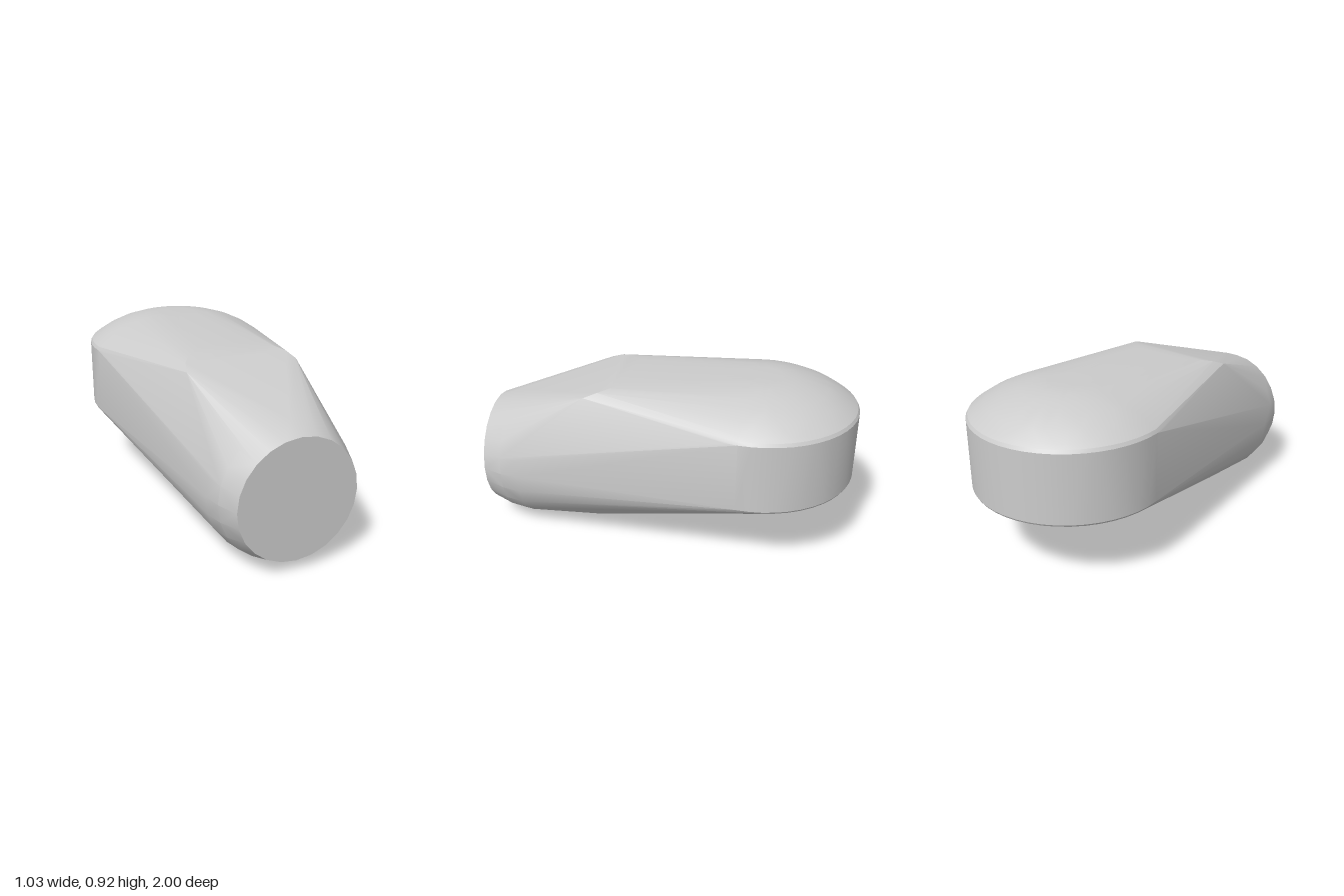
import * as THREE from 'three';
import { ConvexGeometry } from 'three/addons/geometries/ConvexGeometry.js';
import { toCreasedNormals } from 'three/addons/utils/BufferGeometryUtils.js';

// Points of a circle; place(a, b) puts the planar point in space
function ring(radius, sides, place) {
  return Array.from({ length: sides }, (_, i) => {
    const t = (i / sides) * Math.PI * 2;
    return place(radius * Math.sin(t), radius * Math.cos(t));
  });
}

export function createModel() {
  const group = new THREE.Group();
  const points = [];

  // Round nose: upright rings along z, as [z, radius]
  const noseY = 0.372;
  for (const [z, r] of [[1, 0.312], [0.89, 0.354], [0.79, 0.371], [0.4, 0.357]]) {
    points.push(...ring(r, 24, (a, b) => new THREE.Vector3(a, noseY + b, z)));
  }

  // Wide domed rear: level rings stacked in y, as [y, radius]
  const rearZ = -0.483;
  const rear = [
    [0.385, 0.495], [0.392, 0.511], [0.402, 0.517], [0.765, 0.517], [0.782, 0.507],
    [0.797, 0.487], [0.84, 0.421], [0.875, 0.347], [0.902, 0.262], [0.919, 0.185], [0.925, 0.115],
  ];
  for (const [y, r] of rear) {
    points.push(...ring(r, 48, (a, b) => new THREE.Vector3(a, y, rearZ + b)));
  }

  // Sloping front shoulders, mirrored
  for (const s of [-1, 1]) {
    for (const [x, y, z] of [[0.15, 0.899, 0.2], [0.24, 0.886, 0.28], [0.28, 0.872, 0.34], [0.302, 0.846, 0.41]]) {
      points.push(new THREE.Vector3(s * x, y, z));
    }
  }

  // Skin stretched over all the sections
  const body = new THREE.Mesh(
    toCreasedNormals(new ConvexGeometry(points), 0.3),
    new THREE.MeshStandardMaterial({ color: 0xcccccc })
  );
  body.name = 'body';
  group.add(body);
  return group;
}
